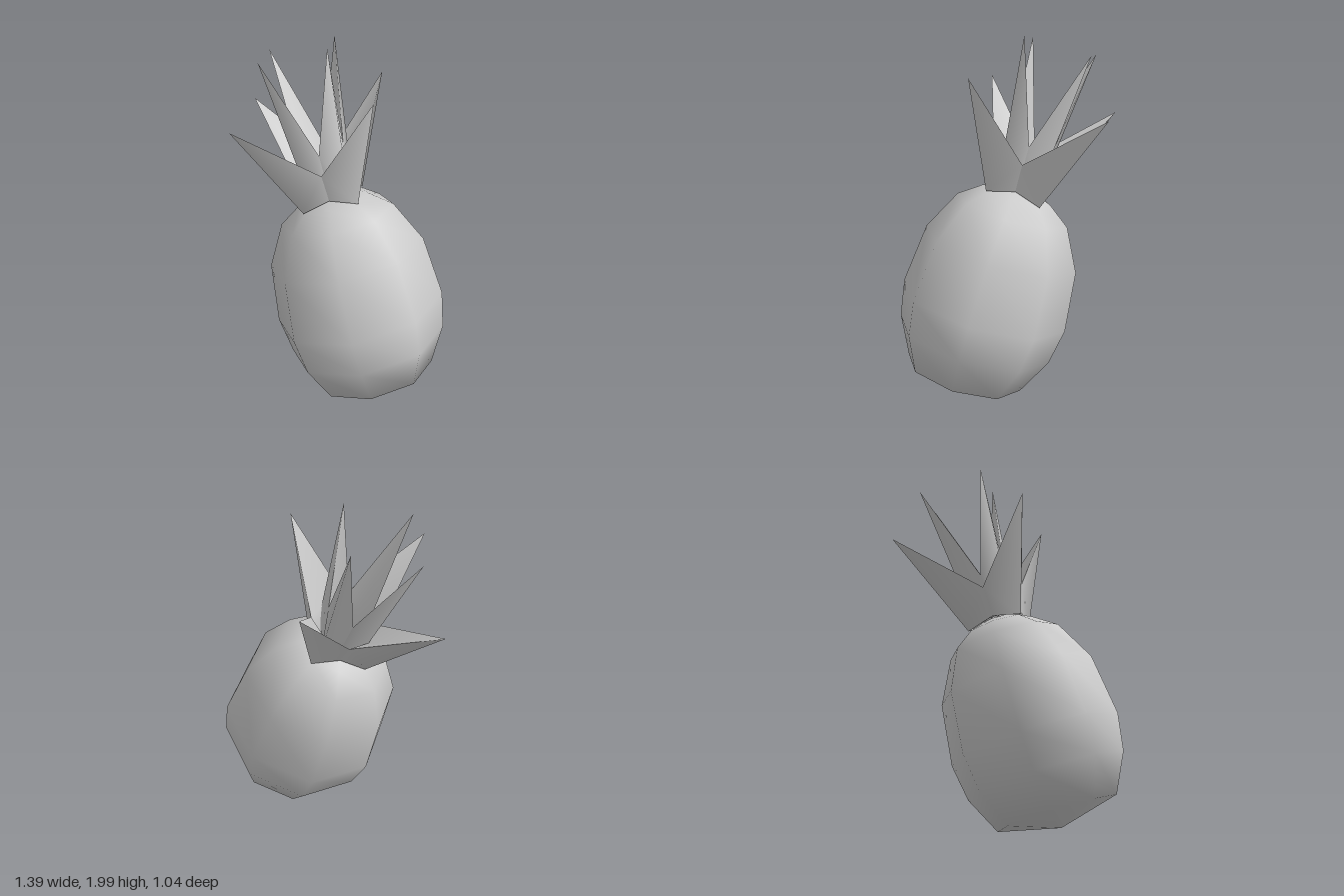
import * as THREE from 'three';

const grey = new THREE.MeshStandardMaterial({ color: 0xcccccc });
const leafGrey = new THREE.MeshStandardMaterial({ color: 0xcccccc, side: THREE.DoubleSide });

// Indexed faces share vertices, so each sheet is smooth in itself
function sheet(points, faces) {
  const g = new THREE.BufferGeometry();
  g.setAttribute('position', new THREE.Float32BufferAttribute(points.flat(), 3));
  g.setIndex(faces.flat());
  g.computeVertexNormals();
  return g;
}

// One leaf pointing along +x: keeled outer sheet and grooved inner sheet
function makeLeaf(name, { tip, keel, wing, groove, base }) {
  const at = ([r, y], z = 0) => [r, y, z];
  const points = [
    at(tip),
    at(wing, wing[2]), at(wing, -wing[2]),
    at(base, base[2]), at(base, -base[2]),
  ];
  const outer = sheet([...points, at(keel)], [[0, 1, 5], [0, 5, 2], [1, 3, 5], [5, 4, 2]]);
  const inner = sheet([...points, at(groove)],
    [[0, 2, 5], [0, 5, 1], [2, 4, 5], [5, 4, 3], [5, 3, 1]]);
  const leaf = new THREE.Group();
  leaf.name = name;
  for (const [part, g] of [['leafOuterSide', outer], ['leafInnerSide', inner]]) {
    const mesh = new THREE.Mesh(g, leafGrey);
    mesh.name = part;
    leaf.add(mesh);
  }
  return leaf;
}

export function createModel() {
  const model = new THREE.Group();
  model.name = 'pineapple';

  // Whole fruit leans towards -x
  const fruit = new THREE.Group();
  fruit.name = 'leaningFruit';
  fruit.position.set(0.38, 0.04, 0);
  fruit.rotation.z = THREE.MathUtils.degToRad(20);
  model.add(fruit);

  // Eight-sided body
  const profile = [
    [0, 0], [0.333, 0.08], [0.439, 0.287], [0.473, 0.49], [0.434, 0.827],
    [0.315, 1.055], [0.193, 1.143], [0.1, 1.182], [0, 1.185],
  ].map(([r, y]) => new THREE.Vector2(r, y));
  const body = new THREE.Mesh(new THREE.LatheGeometry(profile, 8), grey);
  body.name = 'body';
  fruit.add(body);

  // Crown: four spread outer leaves and four steep inner leaves
  const crown = new THREE.Group();
  crown.name = 'crown';
  crown.position.y = 1.19;
  fruit.add(crown);
  const tiers = {
    outerLeaf: {
      tip: [0.522, 0.512], keel: [0.212, -0.05], wing: [0.135, 0.148, 0.135],
      groove: [0.16, 0.12], base: [0.1, -0.008, 0.1],
    },
    innerLeaf: {
      tip: [0.256, 0.795], keel: [0.15, 0], wing: [0.085, 0.24, 0.085],
      groove: [0.1, 0.2], base: [0.06, 0, 0.06],
    },
  };
  for (const [name, shape] of Object.entries(tiers)) {
    for (let i = 0; i < 4; i++) {
      const leaf = makeLeaf(name, shape);
      leaf.rotation.y = i * Math.PI / 2;
      crown.add(leaf);
    }
  }
  return model;
}
